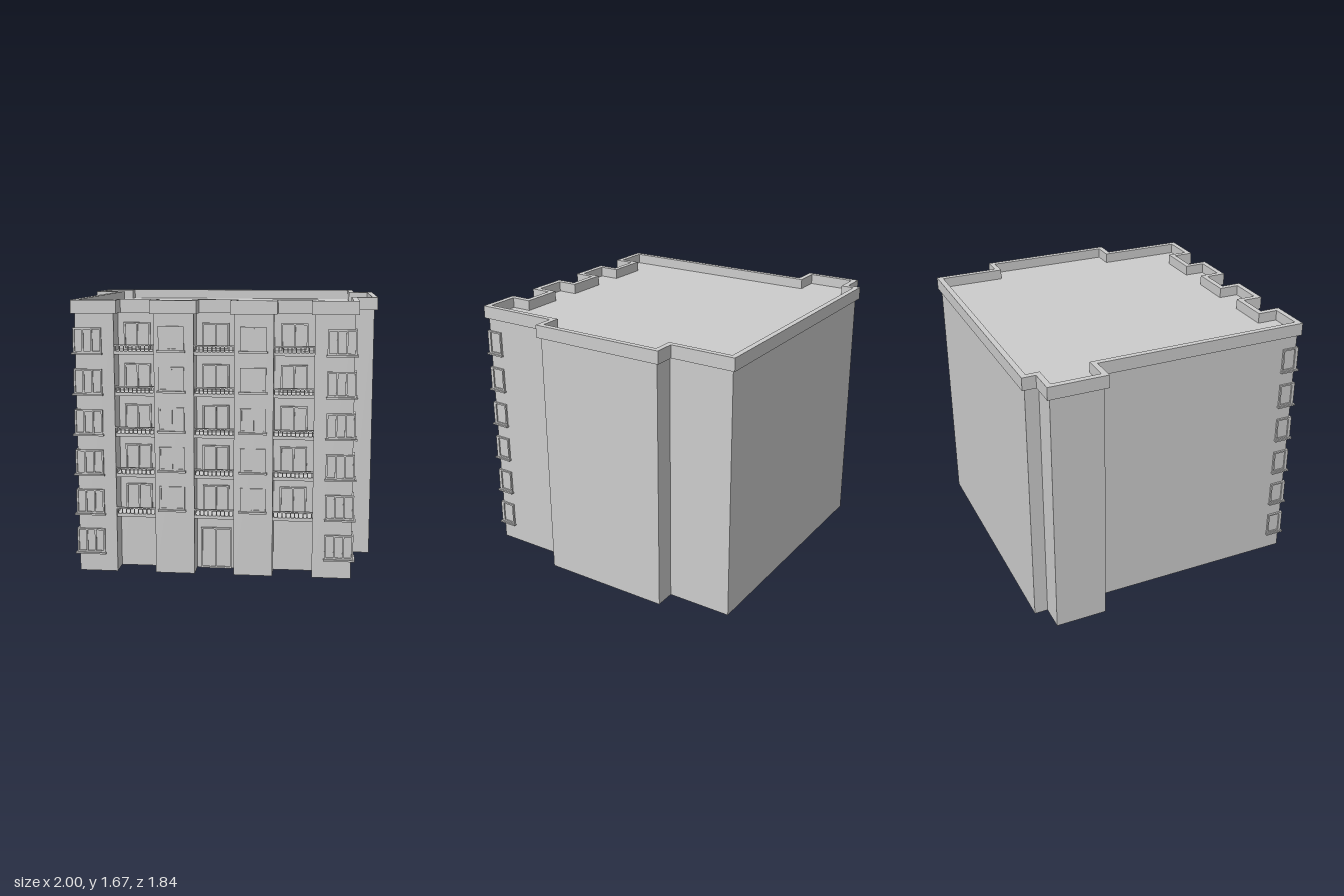
import * as THREE from 'three';

const grey = new THREE.MeshStandardMaterial({ color: 0xcccccc, flatShading: true });
const thin = new THREE.MeshStandardMaterial({ color: 0xcccccc, flatShading: true, side: THREE.DoubleSide });

const WALL_TOP = 1.59, TOP = 1.67, ROOF = 1.605;
const FRONT = 0.895, RECESS = 0.765;
const BAYS = [[-0.58, -0.34], [-0.10, 0.14], [0.375, 0.615]]; // recessed balcony bays

// Footprint as [x, z] corners, pushed outward by d
function outline(d) {
  const pts = [[-0.815 - d, FRONT + d]];
  for (const [a, b] of BAYS) {
    pts.push([a + d, FRONT + d], [a + d, RECESS + d], [b - d, RECESS + d], [b - d, FRONT + d]);
  }
  pts.push(
    [0.85 + d, FRONT + d], [0.85 + d, 0.355 + d], [0.98 + d, 0.355 + d], [0.98 + d, -0.485 - d],
    [0.85 + d, -0.485 - d], [0.85 + d, -0.9 - d], [-0.815 - d, -0.9 - d], [-0.815 - d, -0.815 - d],
    [-0.98 - d, -0.815 - d], [-0.98 - d, -0.485 + d], [-0.815 - d, -0.485 + d]);
  return pts;
}
const toVectors = d => outline(d).map(([x, z]) => new THREE.Vector2(x, -z));

function add(parent, name, geometry, material = grey) {
  const mesh = new THREE.Mesh(geometry, material);
  mesh.name = name;
  parent.add(mesh);
  return mesh;
}

// Box given by its lower and upper limits
function box(parent, name, x0, x1, y0, y1, z0, z1) {
  const mesh = add(parent, name, new THREE.BoxGeometry(x1 - x0, y1 - y0, z1 - z0));
  mesh.position.set((x0 + x1) / 2, (y0 + y1) / 2, (z0 + z1) / 2);
  return mesh;
}

function group(parent, name) {
  const g = new THREE.Group();
  g.name = name;
  parent.add(g);
  return g;
}

// Vertical wall strip around the footprint, open below
function wallGeometry() {
  const pts = outline(0), pos = [];
  pts.forEach(([x0, z0], i) => {
    const [x1, z1] = pts[(i + 1) % pts.length];
    pos.push(x0, 0, z0, x1, 0, z1, x1, WALL_TOP, z1);
    pos.push(x0, 0, z0, x1, WALL_TOP, z1, x0, WALL_TOP, z0);
  });
  const g = new THREE.BufferGeometry();
  g.setAttribute('position', new THREE.Float32BufferAttribute(pos, 3));
  g.computeVertexNormals();
  return g;
}

// Frame with upright bars, standing on z = 0 and facing +z
function frame(parent, name, x0, x1, y0, y1, panes, depth = 0.012, bar = 0.01) {
  const g = group(parent, name);
  box(g, 'bottomRail', x0, x1, y0, y0 + bar, 0, depth);
  box(g, 'topRail', x0, x1, y1 - bar, y1, 0, depth);
  for (let i = 0; i <= panes; i++) {
    const x = x0 + (x1 - x0 - bar) * i / panes;
    box(g, 'upright', x, x + bar, y0 + bar, y1 - bar, 0, depth);
  }
  box(g, 'pane', x0 + bar, x1 - bar, y0 + bar, y1 - bar, 0, 0.003);
  return g;
}

// Window wrapping a front corner; side is +1 at the left wall, -1 at the right wall
function cornerWindow(parent, side, y) {
  const g = group(parent, 'cornerWindow');
  const wall = side > 0 ? 0.85 : -0.815;
  const inner = wall - side * 0.16, outer = wall + side * 0.012;
  const x0 = Math.min(inner, outer), x1 = Math.max(inner, outer);
  frame(g, 'frontFrame', x0, x1, y + 0.01, y + 0.16, 3).position.z = FRONT;
  const flank = frame(g, 'sideFrame', -0.048, 0.048, y + 0.01, y + 0.16, 1);
  flank.position.set(wall, 0, 0.848);
  flank.rotation.y = side * Math.PI / 2;
  const tip = wall + side * 0.022;
  box(g, 'frontSill', Math.min(inner - side * 0.006, tip), Math.max(inner - side * 0.006, tip),
    y, y + 0.01, FRONT, FRONT + 0.022);
  box(g, 'sideSill', Math.min(wall, tip), Math.max(wall, tip), y, y + 0.01, 0.795, FRONT);
}

// Slab, railing and door of one recessed bay
function balcony(parent, [a, b], y) {
  const g = group(parent, 'balcony');
  box(g, 'slab', a, b, y, y + 0.02, RECESS, 0.885);
  box(g, 'handrail', a, b, y + 0.052, y + 0.06, 0.875, 0.887);
  const count = 10;
  for (let i = 0; i < count; i++) {
    const x = a + 0.006 + (b - a - 0.012) * i / (count - 1);
    box(g, 'baluster', x - 0.003, x + 0.003, y + 0.02, y + 0.052, 0.878, 0.884);
  }
  frame(g, 'balconyDoor', a + 0.037, b - 0.04, y + 0.02, y + 0.185, 2).position.z = RECESS;
}

export function createModel() {
  const model = new THREE.Group();
  model.name = 'apartmentBlock';

  // Shell and roof
  add(model, 'walls', wallGeometry(), thin);
  const roof = add(model, 'roof', new THREE.ShapeGeometry(new THREE.Shape(toVectors(-0.01))), thin);
  roof.rotation.x = -Math.PI / 2;
  roof.position.y = ROOF;

  // Parapet ring overhanging the walls
  const ring = new THREE.Shape(toVectors(0.02));
  ring.holes.push(new THREE.Path(toVectors(-0.015)));
  const parapet = add(model, 'parapet',
    new THREE.ExtrudeGeometry(ring, { depth: TOP - WALL_TOP, bevelEnabled: false }));
  parapet.rotation.x = -Math.PI / 2;
  parapet.position.y = WALL_TOP;

  // Corner windows on six floors
  for (let i = 0; i < 6; i++) {
    for (const side of [-1, 1]) cornerWindow(model, side, 0.11 + 0.247 * i);
  }

  // Balconies and pier windows on the five upper floors
  for (let i = 0; i < 5; i++) {
    for (const bay of BAYS) balcony(model, bay, 0.345 + 0.25 * i);
    const y = 0.39 + 0.243 * i;
    for (const x of [-0.32, 0.17]) {
      const g = group(model, 'pierWindow');
      box(g, 'sill', x, x + 0.17, y, y + 0.012, FRONT, FRONT + 0.02);
      frame(g, 'frame', x + 0.008, x + 0.162, y + 0.012, y + 0.155, 2, 0.008).position.z = FRONT;
    }
  }

  // Entrance in the middle bay
  frame(model, 'entranceDoor', -0.075, 0.115, 0, 0.26, 2).position.z = RECESS;

  return model;
}
